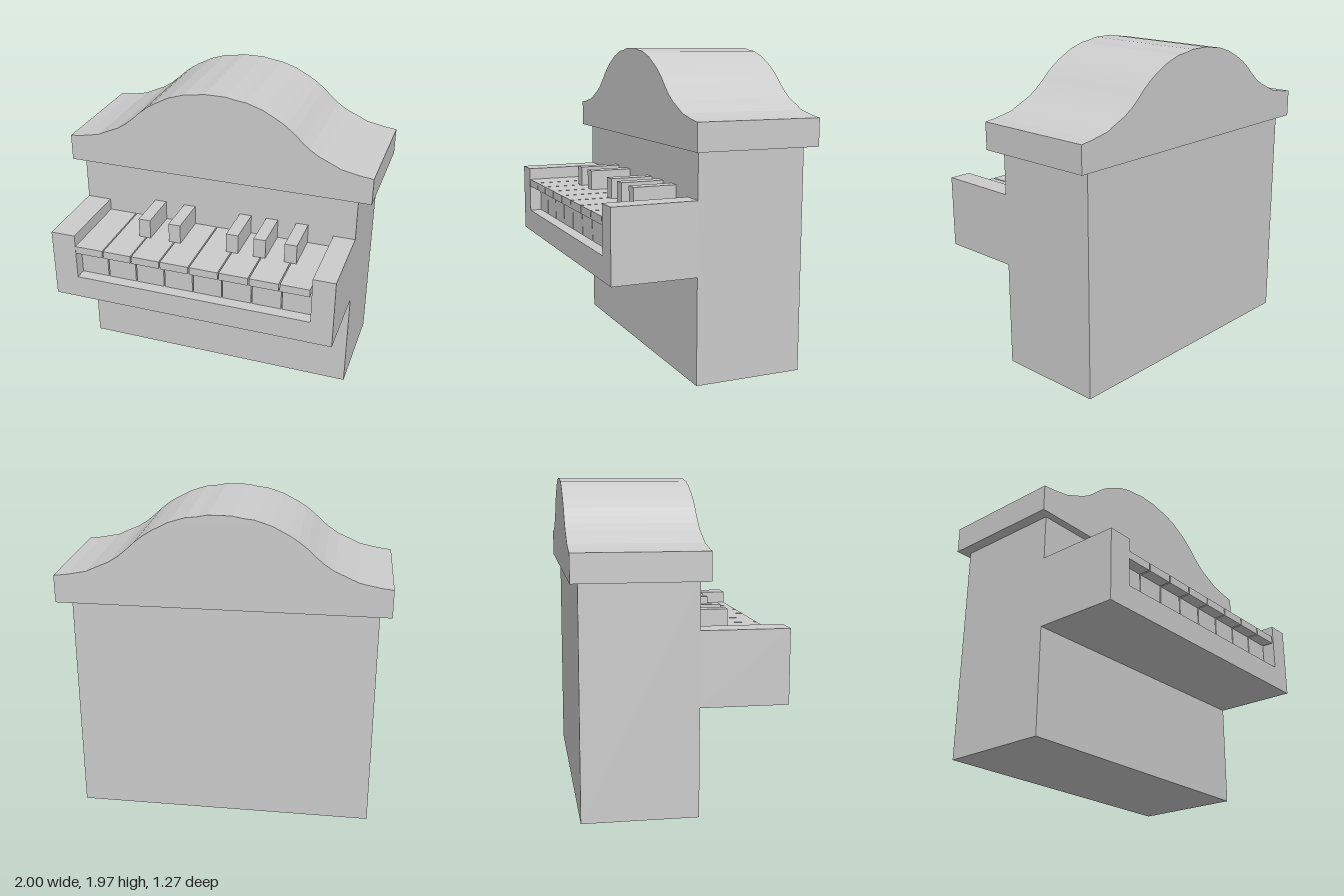
import * as THREE from 'three';

const material = new THREE.MeshStandardMaterial({ color: 0xcccccc, flatShading: true });

function add(parent, name, geometry) {
  const mesh = new THREE.Mesh(geometry, material);
  mesh.name = name;
  parent.add(mesh);
  return mesh;
}

// Box given by its extents along each axis
function block(parent, name, [x0, x1], [y0, y1], [z0, z1]) {
  const mesh = add(parent, name, new THREE.BoxGeometry(x1 - x0, y1 - y0, z1 - z0));
  mesh.position.set((x0 + x1) / 2, (y0 + y1) / 2, (z0 + z1) / 2);
  return mesh;
}

// Front outline swept from z0 to z1
function slab(parent, name, outline, z0, z1) {
  const shape = new THREE.Shape(outline.map(([x, y]) => new THREE.Vector2(x, y)));
  const mesh = add(parent, name, new THREE.ExtrudeGeometry(shape, { depth: z1 - z0, bevelEnabled: false }));
  mesh.position.z = z0;
  return mesh;
}

export function createModel() {
  const model = new THREE.Group();
  model.name = 'uprightOrgan';

  const left = 0.91, right = -0.93;
  const wall = 0.105, front = 0.637, back = -0.637;
  const keyFloor = 0.81, keyTop = 1.035;

  // Main cabinet
  block(model, 'cabinet', [right, left], [0, 1.4], [-0.59, wall]);

  // Crown with a bell-shaped top
  const half = [
    [1, 1.57], [0.92, 1.58], [0.8, 1.604], [0.74, 1.632], [0.66, 1.667], [0.6, 1.706],
    [0.55, 1.748], [0.5, 1.795], [0.45, 1.834], [0.4, 1.866], [0.3, 1.918],
    [0.2, 1.95], [0.13, 1.958], [0.07, 1.97],
  ];
  const mirrored = half.map(([x, y]) => [-x, y]).reverse();
  slab(model, 'crown', [[-1, 1.4], [1, 1.4], ...half, ...mirrored], back, 0.155);

  // Keyboard case: bed with a cheek at each end
  slab(model, 'keyboardCase', [
    [right, 0.66], [left, 0.66], [left, 1.113], [0.77, 1.113],
    [0.77, keyFloor], [-0.77, keyFloor], [-0.77, 1.113], [right, 1.113],
  ], wall, front);

  // Natural keys: overhanging top on a set-back block
  const keys = new THREE.Group();
  keys.name = 'keyboard';
  model.add(keys);
  const pitch = 0.192;
  for (let i = 0; i < 8; i++) {
    const x = -0.77 + i * pitch;
    const span = [x, x + pitch - 0.008];
    block(keys, 'naturalKeyTop', span, [0.985, keyTop], [wall, front - 0.003]);
    block(keys, 'naturalKeyBase', span, [keyFloor, 0.985], [wall, 0.56]);
  }

  // Raised keys
  for (const x of [-0.4, -0.195, 0.19, 0.368, 0.567]) {
    block(keys, 'raisedKey', [x - 0.039, x + 0.039], [keyTop, 1.162], [wall, 0.38]);
  }

  return model;
}
